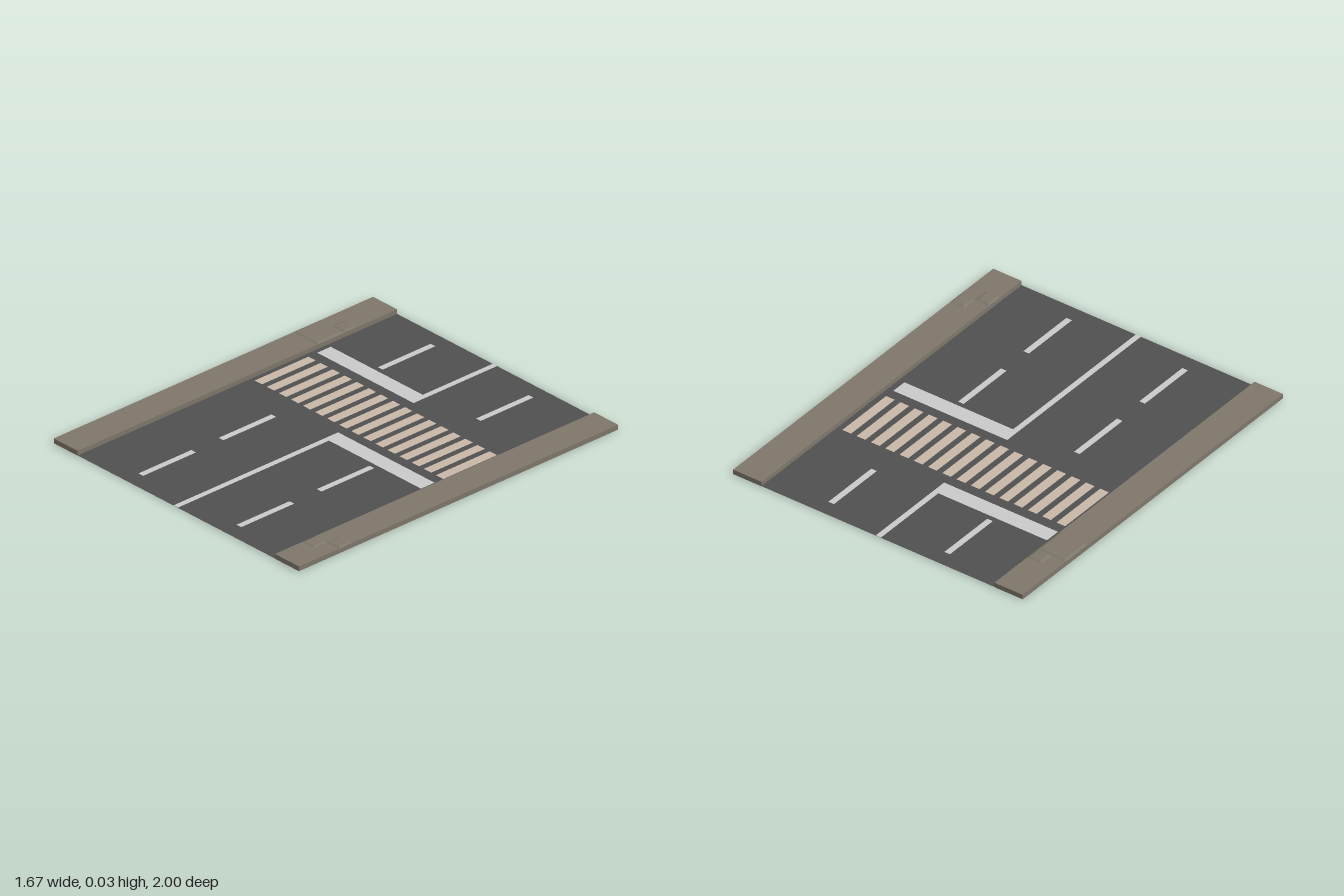
import * as THREE from 'three';

const asphalt = new THREE.MeshStandardMaterial({ color: 0x505050, side: THREE.DoubleSide });
asphalt.name = 'asphalt';
const pavement = new THREE.MeshStandardMaterial({ color: 0x7f776b, side: THREE.DoubleSide });
pavement.name = 'pavement';
const whitePaint = new THREE.MeshStandardMaterial({ color: 0xcacaca });
whitePaint.name = 'whitePaint';
const crossingPaint = new THREE.MeshStandardMaterial({ color: 0xc9b8a8 });
crossingPaint.name = 'crossingPaint';

const CURB = 0.025;

// Flat rectangle between two ground corners
function flat(name, x0, x1, z0, z1, y, material) {
  const geo = new THREE.PlaneGeometry(x1 - x0, z1 - z0).rotateX(-Math.PI / 2);
  const mesh = new THREE.Mesh(geo, material);
  mesh.name = name;
  mesh.position.set((x0 + x1) / 2, y, (z0 + z1) / 2);
  return mesh;
}

// Box shell without a bottom, its top drawn in by an inset
function shell(name, x0, x1, z0, z1, y, height, inset = 0) {
  const w = x1 - x0, d = z1 - z0;
  let geo = new THREE.BoxGeometry(w, height, d);
  const index = Array.from(geo.index.array);
  index.splice(18, 6); // drop the bottom face
  geo.setIndex(index);
  geo.clearGroups();
  const p = geo.attributes.position;
  for (let i = 0; i < p.count; i++) {
    if (p.getY(i) > 0) {
      p.setX(i, p.getX(i) * (1 - 2 * inset / w));
      p.setZ(i, p.getZ(i) * (1 - 2 * inset / d));
    }
  }
  geo = geo.toNonIndexed();
  geo.computeVertexNormals();
  const mesh = new THREE.Mesh(geo, pavement);
  mesh.name = name;
  mesh.position.set((x0 + x1) / 2, y + height / 2, (z0 + z1) / 2);
  return mesh;
}

export function createModel() {
  const model = new THREE.Group();
  model.name = 'roadCrossing';

  // Road surface
  model.add(flat('road', -0.67, 0.67, -1, 1, 0.001, asphalt));

  // Hollow sidewalks
  model.add(shell('rightSidewalk', -0.833, -0.67, -1, 1, 0, CURB));
  model.add(shell('leftSidewalk', 0.67, 0.833, -1, 1, 0, CURB));

  // Slightly raised paving slabs
  const slabs = [
    [-0.833, -0.67, -0.67, -0.5], [-0.752, -0.67, -0.75, -0.67],
    [0.67, 0.752, 0.75, 0.833], [0.752, 0.833, 0.667, 0.75],
  ];
  for (const s of slabs) model.add(shell('pavingSlab', ...s, CURB, 0.005, 0.012));

  // Centre line and stop lines
  const paint = 0.003;
  model.add(flat('centreLineBack', -0.018, 0.012, -1, -0.56, paint, whitePaint));
  model.add(flat('centreLineFront', -0.018, 0.012, 0.055, 1, paint, whitePaint));
  model.add(flat('stopLineBack', -0.643, 0.012, -0.56, -0.475, paint, whitePaint));
  model.add(flat('stopLineFront', -0.018, 0.637, -0.03, 0.055, paint, whitePaint));

  // Lane dashes
  for (const x of [-0.336, 0.331]) {
    for (const [z0, z1] of [[-0.917, -0.587], [0.08, 0.41], [0.582, 0.913]]) {
      model.add(flat('laneDash', x - 0.016, x + 0.016, z0, z1, paint, whitePaint));
    }
  }

  // Pedestrian crossing stripes
  for (let i = 0; i < 16; i++) {
    const x = -0.643 + i * 0.0821;
    model.add(flat('crossingStripe', x, x + 0.05, -0.42, -0.083, paint, crossingPaint));
  }
  return model;
}
